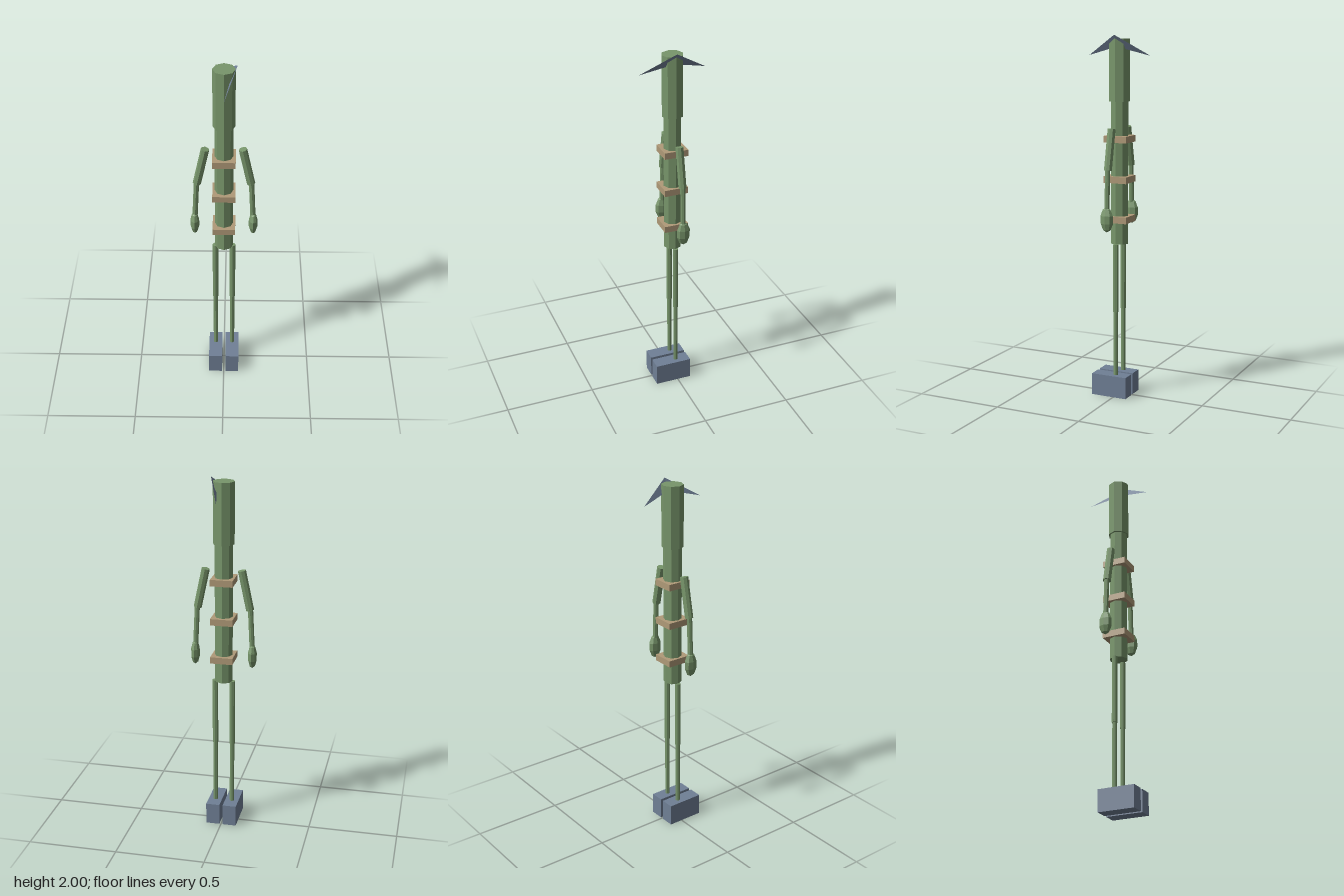
import * as THREE from 'three';

const paint = (name, color, extra = {}) => {
  const m = new THREE.MeshStandardMaterial({ color, flatShading: true, ...extra });
  m.name = name;
  return m;
};

export function createModel() {
  const green = paint('mossGreen', 0x78966b);
  const slate = paint('slate', 0x708096);
  const slateThin = slate;
  slateThin.side = THREE.DoubleSide;
  const tan = paint('tan', 0xb09a78);

  const model = new THREE.Group();
  model.name = 'figure';

  const add = (name, geometry, material, x, y, z, parent = model) => {
    const mesh = new THREE.Mesh(geometry, material);
    mesh.name = name;
    mesh.position.set(x, y, z);
    parent.add(mesh);
    return mesh;
  };

  // Eight-sided limb between two points in the x-y plane
  const limb = (name, top, bottom, rTop, rBottom, parent = model) => {
    const a = new THREE.Vector3(top[0], top[1], 0);
    const b = new THREE.Vector3(bottom[0], bottom[1], 0);
    const dir = a.clone().sub(b);
    const mid = a.clone().add(b).multiplyScalar(0.5);
    const geo = new THREE.CylinderGeometry(rTop, rBottom, dir.length(), 8);
    const mesh = add(name, geo, green, mid.x, mid.y, 0, parent);
    mesh.quaternion.setFromUnitVectors(new THREE.Vector3(0, 1, 0), dir.normalize());
    return mesh;
  };

  // Head and torso
  limb('head', [0, 1.98], [0, 1.645], 0.059, 0.059);
  limb('torso', [0, 1.645], [0, 0.865], 0.05, 0.05);

  // Square bands around the torso
  for (const y of [1.443, 1.223, 1.003]) {
    add('band', new THREE.BoxGeometry(0.124, 0.036, 0.134), tan, 0, y, 0);
  }

  for (const s of [1, -1]) {
    const side = s > 0 ? 'left' : 'right';

    // Arm with hand
    const arm = new THREE.Group();
    arm.name = side + 'Arm';
    model.add(arm);
    limb('upperArm', [s * 0.099, 1.503], [s * 0.145, 1.285], 0.0225, 0.0225, arm);
    limb('forearm', [s * 0.147, 1.295], [s * 0.158, 1.07], 0.0145, 0.0145, arm);
    const hand = add('hand', new THREE.SphereGeometry(1, 8, 5), green, s * 0.16, 1.021, 0, arm);
    hand.scale.set(0.0255, 0.069, 0.039);

    // Leg with block foot
    const leg = new THREE.Group();
    leg.name = side + 'Leg';
    model.add(leg);
    limb('thigh', [s * 0.048, 0.865], [s * 0.048, 0.485], 0.016, 0.016, leg);
    limb('shin', [s * 0.048, 0.485], [s * 0.048, 0.12], 0.013, 0.013, leg);
    add('foot', new THREE.BoxGeometry(0.077, 0.122, 0.207), slate, s * 0.048, 0.061, 0.0265, leg);
  }

  // Thin swept crest on the left of the head, one pointed blade each way
  const crest = new THREE.BufferGeometry();
  crest.setAttribute('position', new THREE.Float32BufferAttribute([
    0.068, 2.0, 0, 0, 1.89, 0.182, 0.037, 1.937, 0,
    0.068, 2.0, 0, 0.037, 1.937, 0, 0, 1.89, -0.182,
  ], 3));
  crest.computeVertexNormals();
  // Turn the faces outward so the upper side is the front
  crest.setIndex([0, 1, 2, 3, 4, 5]);
  add('crest', crest, slateThin, 0, 0, 0);

  return model;
}
